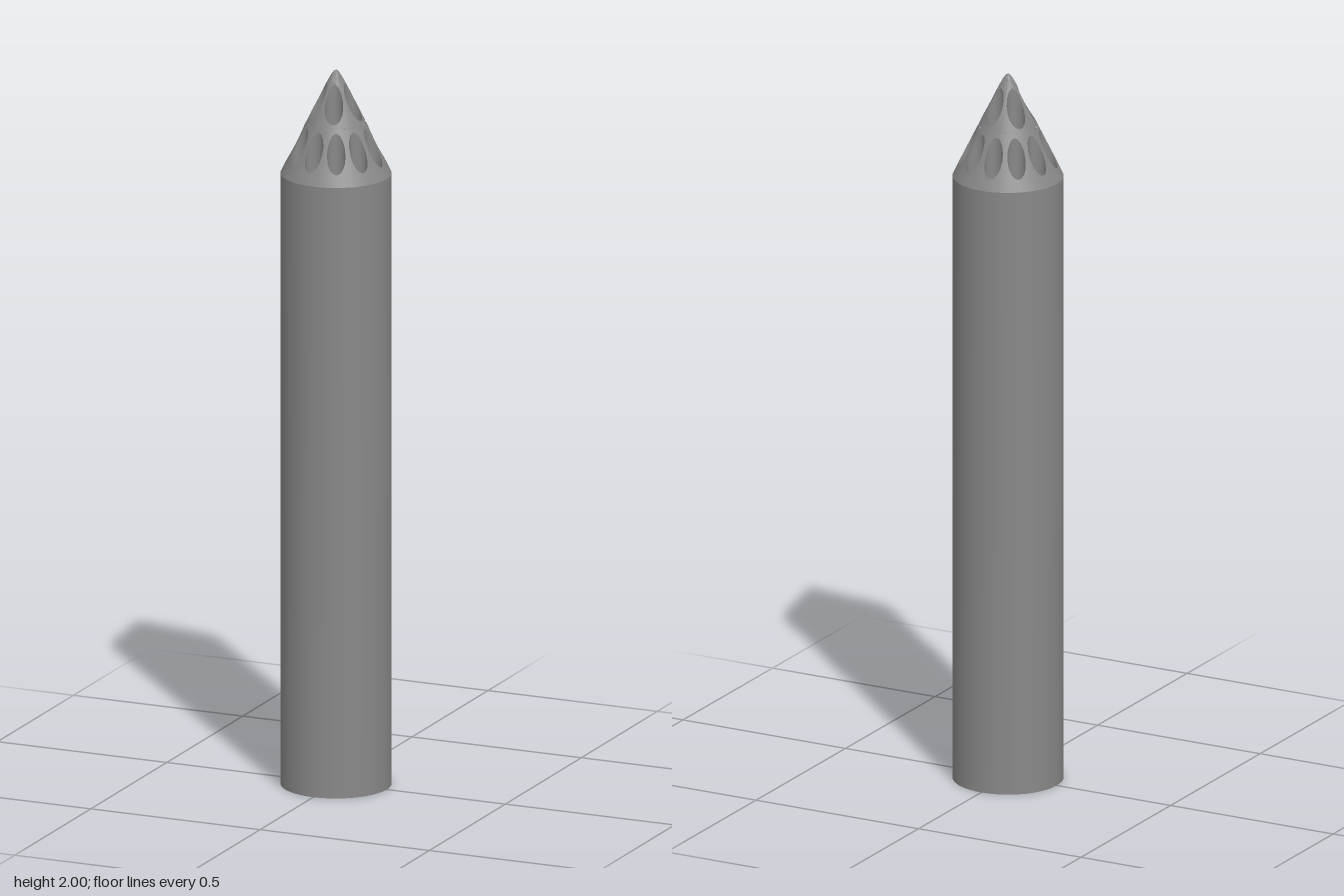
import * as THREE from 'three';
import { toCreasedNormals } from 'three/addons/utils/BufferGeometryUtils.js';

const R = 0.15, SPLIT = 0.08, BORE = 0.025;
const SIDES = 16, STEPS = 5;

// Height of the cone at a given radius, with a slightly rounded point
const coneY = (r) => 2.02 - Math.hypot(0.02, 2.06 * r);
const flatY = () => 0;

// Two rings of bores; each bore sits in its own sector of the ring
const rings = [
  { count: 11, radius: 0.11, inner: SPLIT, outer: R },
  { count: 5, radius: 0.05, inner: 0, outer: SPLIT },
];

// Point between the bore edge (k = 0) and the sector edge (k = 1), as [radius, angle]
function cellPoint(ring, sector, i, k) {
  const t = (i / SIDES) * Math.PI * 2;
  const c = Math.cos(t), s = Math.sin(t);
  const m = Math.max(Math.abs(c), Math.abs(s));
  const u = c / m, v = s / m;
  const hx = ring.radius + BORE * c, hy = BORE * s;
  const edgeR = ring.radius + u * (u > 0 ? ring.outer - ring.radius : ring.radius - ring.inner);
  const r = THREE.MathUtils.lerp(Math.hypot(hx, hy), edgeR, k);
  const a = THREE.MathUtils.lerp(Math.atan2(hy, hx), (v * Math.PI) / ring.count, k);
  return [r, a + (sector * Math.PI * 2) / ring.count];
}

const place = ([r, a], y) => [r * Math.cos(a), y, -r * Math.sin(a)];

function quad(out, a, b, c, d) {
  out.push(...a, ...b, ...c, ...a, ...c, ...d);
}

function forEachSide(fn) {
  for (const ring of rings)
    for (let n = 0; n < ring.count; n++)
      for (let i = 0; i < SIDES; i++) fn(ring, n, i);
}

// Perforated disc following a height rule
function perforated(heightAt, up) {
  const out = [];
  forEachSide((ring, n, i) => {
    for (let j = 0; j < STEPS; j++) {
      const corner = (di, dj) => {
        const p = cellPoint(ring, n, i + di, (j + dj) / STEPS);
        return place(p, heightAt(p[0]));
      };
      const q = [corner(0, 0), corner(0, 1), corner(1, 1), corner(1, 0)];
      if (!up) q.reverse();
      quad(out, ...q);
    }
  });
  return out;
}

// Walls of the bores, running from the base to the cone
function boreWalls() {
  const out = [];
  forEachSide((ring, n, i) => {
    const a = cellPoint(ring, n, i, 0), b = cellPoint(ring, n, i + 1, 0);
    quad(out, place(b, 0), place(a, 0), place(a, coneY(a[0])), place(b, coneY(b[0])));
  });
  return out;
}

// Outer skin, matching the rim points of the outer sectors
function outerWall() {
  const out = [];
  const ring = rings[0], q = SIDES / 8;
  for (let n = 0; n < ring.count; n++)
    for (let i = -q; i < q; i++) {
      const a = cellPoint(ring, n, i, 1), b = cellPoint(ring, n, i + 1, 1);
      quad(out, place(a, 0), place(b, 0), place(b, coneY(R)), place(a, coneY(R)));
    }
  return out;
}

export function createModel() {
  const group = new THREE.Group();
  group.name = 'perforatedRod';
  const grey = new THREE.MeshStandardMaterial({ color: 0x888888 });
  grey.name = 'grey';

  const add = (name, positions) => {
    const g = new THREE.BufferGeometry();
    g.setAttribute('position', new THREE.Float32BufferAttribute(positions, 3));
    const mesh = new THREE.Mesh(toCreasedNormals(g, 0.6), grey);
    mesh.name = name;
    group.add(mesh);
  };

  add('pointedTip', perforated(coneY, true));
  add('shaft', outerWall());
  add('bores', boreWalls());
  add('base', perforated(flatY, false));
  return group;
}
